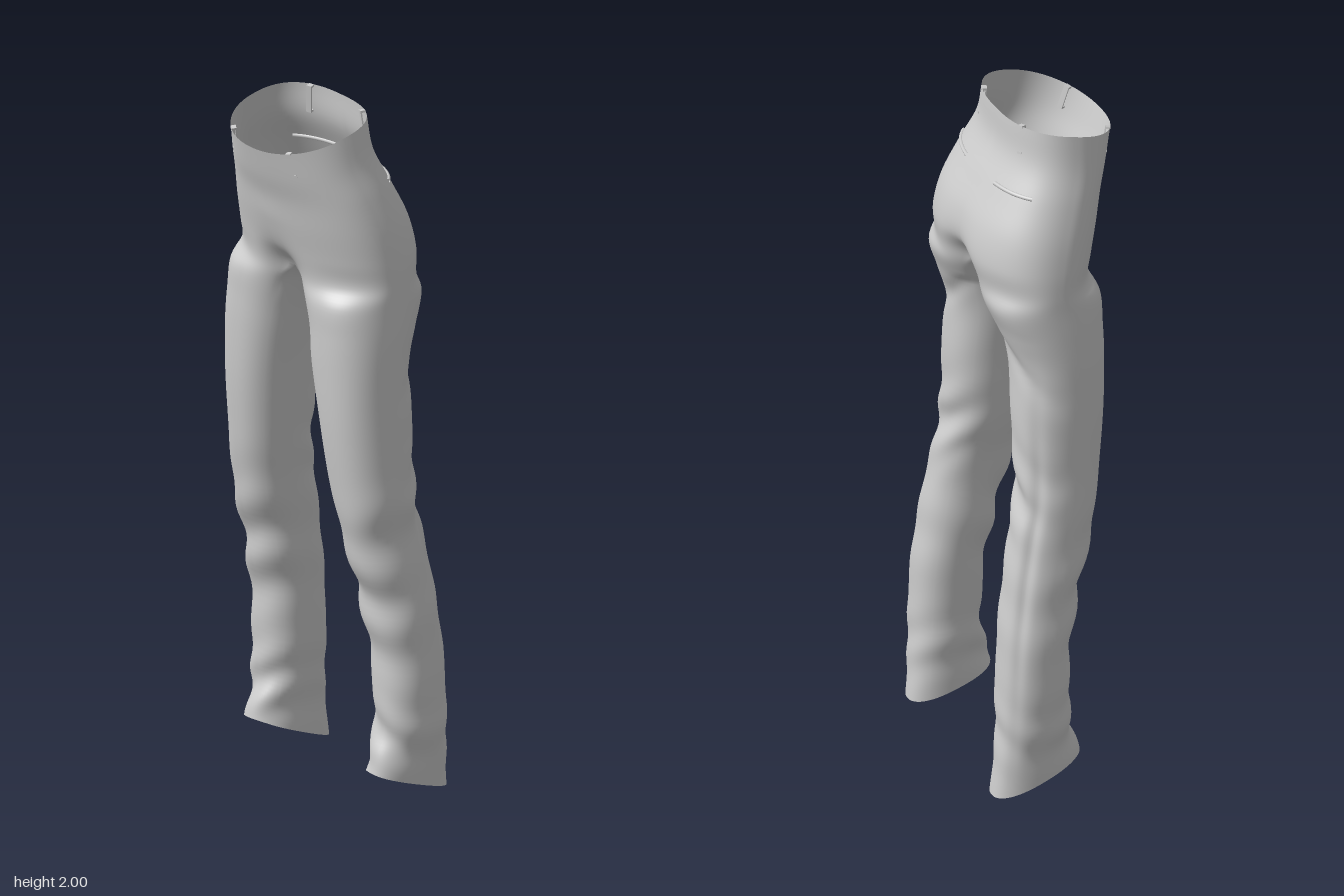
import * as THREE from 'three';
import { mergeVertices } from 'three/addons/utils/BufferGeometryUtils.js';

const M = 60, K = 28, S = 6;          // outer columns, inner-leg columns, steps between key rings
const BETA = 0.85;                    // how far the outer columns wrap round to the inner leg
const V = (x, y, z) => new THREE.Vector3(x, y, z);
const pw = (v, e) => Math.sign(v) * Math.pow(Math.abs(v), e);
const bump = (v, c, w) => Math.exp(-(((v - c) / w) ** 2));

// Hips: y, half width, z of widest point, front z, back z, centre dent at front, at back
const HIPS = [
  [2.0, 0.21, 0.07, 0.235, -0.083, 0, 0],
  [1.9, 0.232, 0.06, 0.212, -0.094, 0, 0],
  [1.8, 0.262, 0.03, 0.188, -0.142, 0, 0],
  [1.7, 0.287, 0.0, 0.17, -0.19, 0, 0.004],
  [1.61, 0.302, -0.02, 0.15, -0.208, 0.012, 0.018],
  [1.54, 0.309, -0.03, 0.138, -0.198, 0.055, 0.065],
];
// Legs: y, outer x, inner x, front z, back z, hem tilt
const THIGH = [
  [1.485, 0.313, 0.024, 0.135, -0.186, 0],
  [1.4, 0.32, 0.056, 0.135, -0.155, 0],
];
const RIGHT = [
  [1.3, 0.326, 0.08, 0.133, -0.128, 0],
  [1.15, 0.331, 0.108, 0.125, -0.13, 0],
  [1.0, 0.333, 0.13, 0.11, -0.128, 0],
  [0.9, 0.339, 0.143, 0.096, -0.13, 0],
  [0.8, 0.345, 0.155, 0.08, -0.152, 0],
  [0.68, 0.353, 0.165, 0.047, -0.172, 0],
  [0.57, 0.361, 0.171, 0.02, -0.188, 0],
  [0.45, 0.368, 0.178, -0.002, -0.2, 0],
  [0.3, 0.368, 0.184, -0.004, -0.208, 0.01],
  [0.2, 0.362, 0.197, -0.004, -0.21, 0.02],
  [0.12, 0.353, 0.202, 0.012, -0.218, 0.035],
  [0.05, 0.351, 0.2, 0.03, -0.228, 0.05],
];
const LEFT = [
  [1.3, 0.324, 0.066, 0.133, -0.128, 0],
  [1.15, 0.328, 0.092, 0.125, -0.13, 0],
  [1.0, 0.333, 0.112, 0.11, -0.128, 0],
  [0.9, 0.338, 0.13, 0.096, -0.13, 0],
  [0.8, 0.328, 0.155, 0.08, -0.152, 0],
  [0.68, 0.346, 0.162, 0.047, -0.172, 0],
  [0.57, 0.357, 0.165, 0.02, -0.186, 0],
  [0.45, 0.363, 0.178, 0.0, -0.2, 0],
  [0.3, 0.368, 0.188, -0.004, -0.205, 0.01],
  [0.2, 0.364, 0.192, -0.004, -0.208, 0.02],
  [0.13, 0.35, 0.198, 0.01, -0.213, 0.03],
  [0.065, 0.344, 0.199, 0.028, -0.22, 0.04],
];

function hipPoint([y, w, zc, zf, zb, df, db], k) {
  const a = Math.PI / 2 - (Math.PI * k) / M, s = Math.sin(a);
  const x = k % M === 0 ? 0 : w * pw(Math.cos(a), s < 0 ? 0.8 : 0.92);
  let z = zc + (s > 0 ? (zf - zc) * pw(s, 0.95) : (zc - zb) * pw(s, 0.8));
  z += (s > 0 ? -df : db) * bump(x, 0, 0.07);
  // the waist dips towards the front
  const dip = 0.078 * Math.pow(THREE.MathUtils.clamp((z + 0.083) / 0.318, 0, 1), 1.5);
  return V(x, y - dip * THREE.MathUtils.smoothstep(y, 1.62, 2), z);
}

const legAngle = (k) => {
  const h = Math.PI / 2 + BETA;
  return k <= M ? h - (2 * h * k) / M : -h - ((2 * Math.PI - 2 * h) * (k - M)) / K;
};

function legPoint([y, o, i, f, b, tilt], k) {
  const a = legAngle(k), s = pw(Math.sin(a), 0.87);
  return V((o + i) / 2 + ((o - i) / 2) * pw(Math.cos(a), 0.87), y + tilt * s, (f + b) / 2 + ((f - b) / 2) * s);
}

// Key points of one column, from waist to hem
function columnKeys(rows, k) {
  const legs = rows.map((r) => legPoint(r, k));
  if (k <= M) return [...HIPS.map((r) => hipPoint(r, k)), ...legs];
  // inner leg starts on the crotch seam; the mirrored key above rounds the arch
  const t = (k - M) / K, last = HIPS[HIPS.length - 1];
  const back = hipPoint(last, M), front = hipPoint(last, 0);
  const seam = back.lerp(front, t);
  seam.y -= 0.038 * (1 - (2 * t - 1) ** 2);
  const mirror = legs[0].clone().setX(-legs[0].x);
  return [...HIPS.slice(1).map(() => mirror), seam, ...legs];
}

// Cloth folds round the knee, calf, ankle and below the seat
function fold(p, k, phase) {
  const a = legAngle(k), y = p.y;
  const back = Math.max(0, -Math.sin(a)), front = Math.max(0, Math.sin(a));
  let d = 0.007 * Math.sin(34 * y + 2 * Math.sin(a + phase) + phase) * bump(y, 0.62, 0.2) * (0.3 + front);
  d += 0.008 * Math.sin(45 * y + 3 * Math.cos(a) + phase) * bump(y, 0.2, 0.1) * (0.4 + 0.6 * front);
  d += 0.007 * Math.sin(40 * y + 4 * Math.cos(a)) * bump(y, 0.92, 0.12) * back;
  d -= 0.008 * bump(y + 0.12 * Math.cos(a), 1.33, 0.035) * back;
  // long crease down the outer back of the leg
  d -= 0.009 * bump(a, -0.85, 0.2) * bump(y, 0.75, 0.4);
  p.x += d * Math.cos(a);
  p.z += d * Math.sin(a);
}

function buildGrid(side) {
  const rows = [...THIGH, ...(side > 0 ? LEFT : RIGHT)];
  const seamRow = (HIPS.length - 1) * S;
  const cols = [];
  for (let k = 0; k < M + K; k++) {
    const keys = columnKeys(rows, k);
    const pts = new THREE.CatmullRomCurve3(keys, false, 'catmullrom').getPoints((keys.length - 1) * S);
    pts.forEach((p, j) => {
      if (j <= seamRow) p.x = k % M === 0 || k > M ? 0 : Math.max(p.x, 0.001);
      else if (p.y < 1.42) fold(p, k, side > 0 ? 0.6 : 2.1);
      p.x *= side;
    });
    cols.push(pts);
  }
  return { cols, seamRow };
}

function shellGeometry(halves) {
  const pos = [], idx = [];
  halves.forEach(({ cols, seamRow }, h) => {
    const n = cols[0].length, base = pos.length / 3;
    cols.forEach((c) => c.forEach((p) => pos.push(p.x, p.y, p.z)));
    for (let k = 0; k < M + K; k++)
      for (let j = k < M ? 0 : seamRow; j < n - 1; j++) {
        const a = base + k * n + j, b = base + ((k + 1) % (M + K)) * n + j;
        if (h === 0) idx.push(a, a + 1, b, b, a + 1, b + 1);
        else idx.push(a, b, a + 1, b, b + 1, a + 1);
      }
  });
  const g = new THREE.BufferGeometry();
  g.setAttribute('position', new THREE.Float32BufferAttribute(pos, 3));
  g.setIndex(idx);
  const welded = mergeVertices(g, 1e-5);
  welded.computeVertexNormals();
  return welded;
}

export function createModel() {
  const model = new THREE.Group();
  model.name = 'trousers';
  const cloth = new THREE.MeshStandardMaterial({ color: 0xcccccc, roughness: 0.8, side: THREE.DoubleSide });
  const add = (geo, name, parent = model) => {
    const m = new THREE.Mesh(geo, cloth);
    m.name = name;
    parent.add(m);
    return m;
  };
  const halves = [buildGrid(1), buildGrid(-1)];
  add(shellGeometry(halves), 'trouserShell');

  halves.forEach(({ cols }, h) => {
    const side = h === 0 ? 1 : -1, label = h === 0 ? 'left' : 'right';

    // Belt loops: a strip held off the waistband by two ends
    for (const [where, x, from, to] of [['Front', 0.13, 2, M / 2], ['Back', 0.12, M / 2, M - 2]]) {
      let k = from;
      for (let i = from; i < to; i++) if (Math.abs(cols[i][0].x * side - x) < Math.abs(cols[k][0].x * side - x)) k = i;
      const top = cols[k][0], low = cols[k][5];
      const up = top.clone().sub(low), len = up.length();
      up.normalize();
      const across = cols[k - 1][2].clone().sub(cols[k + 1][2]).multiplyScalar(side).normalize();
      const out = across.clone().cross(up).normalize();
      across.crossVectors(up, out);
      const loop = new THREE.Group();
      loop.name = label + where + 'BeltLoop';
      loop.position.copy(top).add(low).multiplyScalar(0.5);
      loop.quaternion.setFromRotationMatrix(new THREE.Matrix4().makeBasis(across, up, out));
      add(new THREE.BoxGeometry(0.016, len, 0.004), 'loopStrip', loop).position.z = 0.012;
      for (const e of [-1, 1])
        add(new THREE.BoxGeometry(0.016, 0.006, 0.014), 'loopEnd', loop).position.set(0, e * (len / 2 - 0.003), 0.006);
      model.add(loop);
    }

    // Back pocket welt following the seat
    const j = 2 * S - 1;
    const path = cols.slice(M / 2, M).map((c) => c[j]).filter((p) => Math.abs(p.x) > 0.08 && Math.abs(p.x) < 0.22);
    add(new THREE.TubeGeometry(new THREE.CatmullRomCurve3(path), 30, 0.006, 8), label + 'PocketWelt');
  });
  return model;
}
